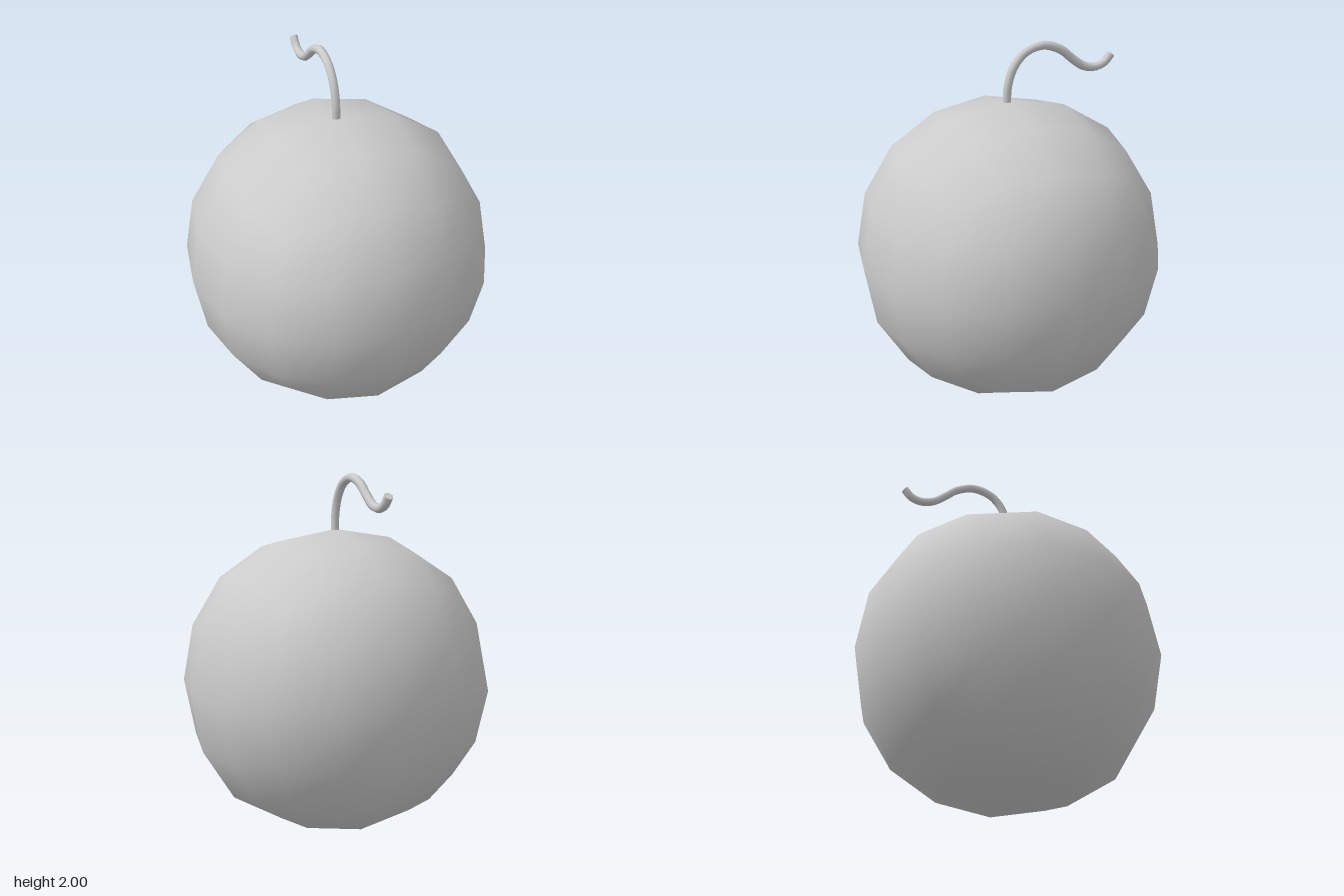
import * as THREE from 'three';
import { mergeVertices } from 'three/addons/utils/BufferGeometryUtils.js';

const R = 0.8465;

// Rounded cube-sphere: a 4x4x4 box whose grid points move to twice-subdivided positions.
// Key: sorted grid steps of the point (0..2); value: new coordinate for each step.
const SMOOTH = {
  '002': { 0: 0, 2: 0.878 },
  '012': { 0: 0, 1: 0.3507, 2: 0.8194 },
  '022': { 0: 0, 2: 0.6432 },
  '112': { 1: 0.3264, 2: 0.7639 },
  '122': { 1: 0.3021, 2: 0.599 },
  '222': { 2: 0.5093 },
};

function bodyGeometry() {
  const box = new THREE.BoxGeometry(4, 4, 4, 4, 4, 4);
  box.deleteAttribute('normal');
  box.deleteAttribute('uv');
  const geo = mergeVertices(box);
  geo.clearGroups();
  const pos = geo.attributes.position;
  for (let i = 0; i < pos.count; i++) {
    const p = [pos.getX(i), pos.getY(i), pos.getZ(i)].map(Math.round);
    const rule = SMOOTH[p.map(Math.abs).sort().join('')];
    const q = p.map((c) => (Math.sign(c) * rule[Math.abs(c)] * R) / 0.878);
    pos.setXYZ(i, ...q);
  }
  geo.computeVertexNormals();
  return geo;
}

export function createModel() {
  const group = new THREE.Group();
  const material = new THREE.MeshStandardMaterial({ color: 0xcccccc });
  const add = (name, geometry) => {
    const mesh = new THREE.Mesh(geometry, material);
    mesh.name = name;
    group.add(mesh);
    return mesh;
  };

  // Round body
  add('body', bodyGeometry()).position.y = R;

  // Curling stem: [y, z] points in the x = 0 plane
  const path = new THREE.CatmullRomCurve3([
    [1.67, 0.005], [1.77, 0], [1.87, -0.033], [1.945, -0.1], [1.977, -0.205],
    [1.945, -0.31], [1.89, -0.38], [1.843, -0.45], [1.83, -0.52], [1.85, -0.58], [1.895, -0.62],
  ].map(([y, z]) => new THREE.Vector3(0, y, z)));
  const radius = 0.024, sides = 8;
  add('stem', new THREE.TubeGeometry(path, 32, radius, sides));

  // Flat stem ends
  for (const [name, t, dir] of [['stemBase', 0, -1], ['stemTip', 1, 1]]) {
    const cap = add(name, new THREE.CircleGeometry(radius, sides));
    cap.position.copy(path.getPointAt(t));
    cap.lookAt(cap.position.clone().addScaledVector(path.getTangentAt(t), dir));
  }
  return group;
}
